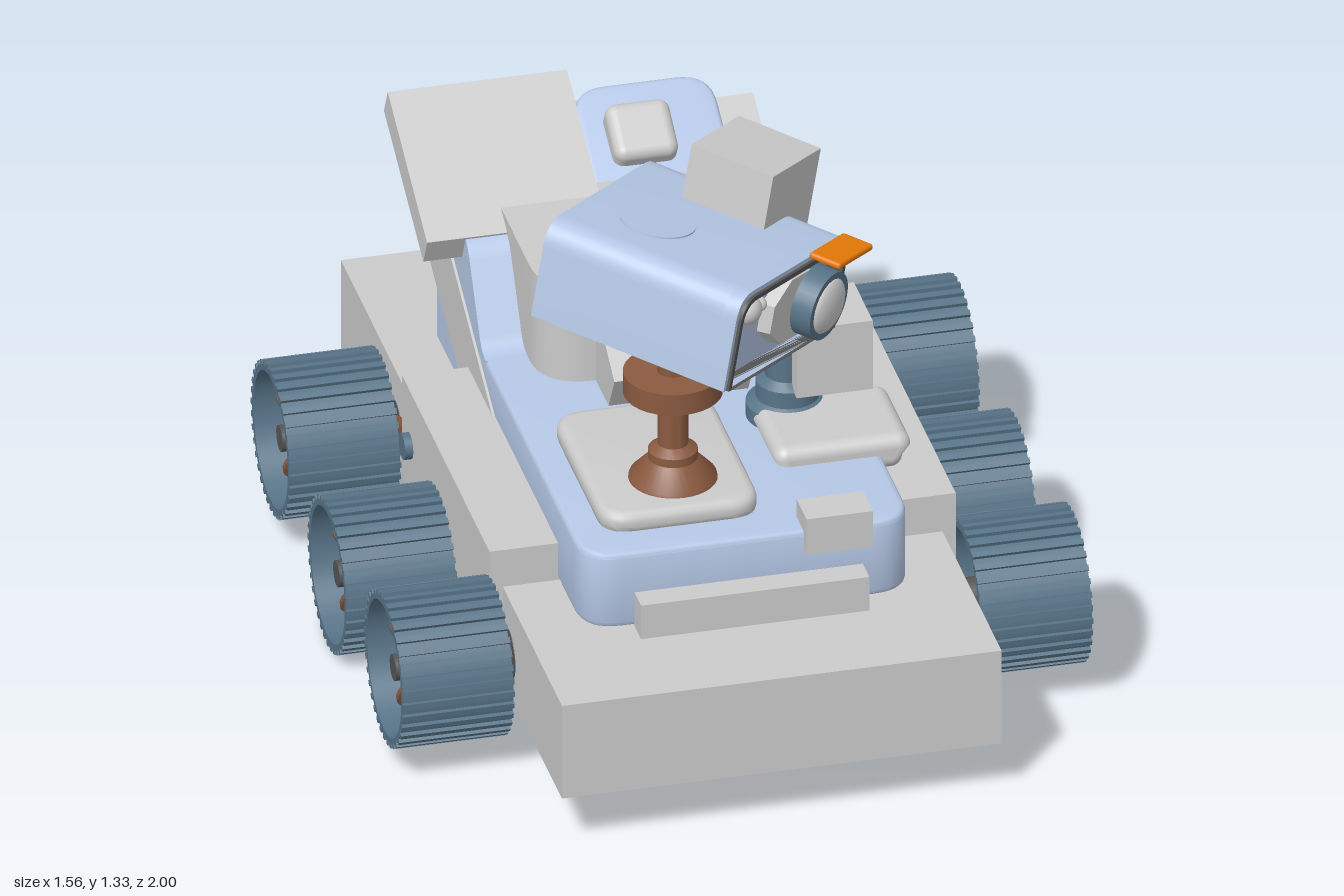
import * as THREE from 'three';
import { toCreasedNormals } from 'three/addons/utils/BufferGeometryUtils.js';
import { RoundedBoxGeometry } from 'three/addons/geometries/RoundedBoxGeometry.js';

const mat = (color) => new THREE.MeshStandardMaterial({ color });
const grey = mat(0xcccccc), blue = mat(0xb5c8e6), steel = mat(0x587488);
const brown = mat(0x8a5a40), dark = mat(0x555555), orange = mat(0xe87a08);

function add(parent, name, geo, material, x = 0, y = 0, z = 0, rx = 0) {
  const m = new THREE.Mesh(geo, material);
  m.name = name;
  m.position.set(x, y, z);
  m.rotation.x = rx;
  parent.add(m);
  return m;
}

// box given by its limits on each axis
function box(parent, name, material, x0, x1, y0, y1, z0, z1) {
  return add(parent, name, new THREE.BoxGeometry(x1 - x0, y1 - y0, z1 - z0), material,
    (x0 + x1) / 2, (y0 + y1) / 2, (z0 + z1) / 2);
}

// cylinder lying along x
const axleGeo = (r, len, seg = 24) => new THREE.CylinderGeometry(r, r, len, seg).rotateZ(Math.PI / 2);
// cylinder facing z
const lensGeo = (r0, r1, len) => new THREE.CylinderGeometry(r1, r0, len, 32).rotateX(Math.PI / 2);

// rectangle with separate radii for its lower and upper corners
function roundRect(x0, x1, y0, y1, rLow, rHigh) {
  const s = new THREE.Shape();
  s.moveTo(x0 + rLow, y0);
  s.lineTo(x1 - rLow, y0);
  if (rLow) s.quadraticCurveTo(x1, y0, x1, y0 + rLow);
  s.lineTo(x1, y1 - rHigh);
  if (rHigh) s.quadraticCurveTo(x1, y1, x1 - rHigh, y1);
  s.lineTo(x0 + rHigh, y1);
  if (rHigh) s.quadraticCurveTo(x0, y1, x0, y1 - rHigh);
  s.lineTo(x0, y0 + rLow);
  if (rLow) s.quadraticCurveTo(x0, y0, x0 + rLow, y0);
  return s;
}

const extrude = (shape, depth, bevel = 0) => toCreasedNormals(new THREE.ExtrudeGeometry(shape, {
  depth, curveSegments: 8, bevelEnabled: bevel > 0, bevelSize: bevel, bevelThickness: bevel, bevelOffset: -bevel, bevelSegments: 3,
}), 0.6);

// plan outline (x, z) raised from y0 to y1; rFront rounds the +z corners
function plan(parent, name, material, x0, x1, z0, z1, y0, y1, rFront, rBack, bevel = 0) {
  const geo = extrude(roundRect(x0, x1, -z1, -z0, rFront, rBack), y1 - y0 - 2 * bevel, bevel);
  return add(parent, name, geo.rotateX(-Math.PI / 2), material, 0, y0 + bevel, 0);
}

// wheel with its outer face towards +x
function makeWheel() {
  const w = new THREE.Group();
  w.name = 'wheel';
  const rim = [[0.155, -0.125], [0.169, -0.125], [0.169, 0.125], [0.155, 0.125], [0.155, -0.125]];
  const rimGeo = new THREE.LatheGeometry(rim.map(([r, h]) => new THREE.Vector2(r, h)), 48);
  add(w, 'rim', toCreasedNormals(rimGeo, 0.5).rotateZ(-Math.PI / 2), steel);
  const cleat = new THREE.BoxGeometry(0.252, 0.012, 0.013);
  for (let i = 0; i < 36; i++) {
    const a = (i / 36) * Math.PI * 2;
    add(w, 'cleat', cleat, steel, 0, Math.cos(a) * 0.172, Math.sin(a) * 0.172, a);
  }
  const curve = new THREE.CatmullRomCurve3([[0.01, 0.04], [0.07, 0.075], [0.08, 0.12], [0.04, 0.16]]
    .map(([x, y]) => new THREE.Vector3(x, y, 0)));
  const spoke = new THREE.TubeGeometry(curve, 10, 0.007, 6);
  for (let i = 0; i < 8; i++) add(w, 'spoke', spoke, brown, 0, 0, 0, (i + 0.5) * Math.PI / 4);
  add(w, 'hub', axleGeo(0.058, 0.14), dark, 0.005);
  add(w, 'hubCap', axleGeo(0.03, 0.04), dark, 0.085);
  add(w, 'axle', axleGeo(0.04, 0.2), dark, -0.15);
  add(w, 'motor', axleGeo(0.06, 0.07), dark, -0.19);
  return w;
}

function makeHead() {
  const h = new THREE.Group();
  h.name = 'cameraHead';
  h.position.set(-0.087, 0.99, 0.46);
  h.rotation.set(0.096, Math.PI / 4, -0.153, 'YXZ');
  add(h, 'headShell', extrude(roundRect(-0.245, 0.245, 0, 0.23, 0, 0.06), 0.46), blue, 0, 0, -0.25);

  // hood around the recessed face, open below
  const arch = (o, t) => {
    const s = roundRect(-o, o, 0, o - 0.015, 0, 0.06);
    s.holes.push(roundRect(-o + t, o - t, 0.001, o - 0.015 - t, 0, 0.05));
    return s;
  };
  add(h, 'hood', extrude(arch(0.245, 0.012), 0.035), blue, 0, 0, 0.21);
  add(h, 'hoodLining', extrude(arch(0.234, 0.012), 0.042), dark, 0, 0, 0.21);

  // instruments on the face
  const plate = add(h, 'lensPlate', lensGeo(0.09, 0.085, 0.03), grey, 0.05, 0.11, 0.225);
  plate.geometry = toCreasedNormals(new THREE.CylinderGeometry(0.085, 0.09, 0.03, 8).rotateY(Math.PI / 8).rotateX(Math.PI / 2), 0.4);
  plate.scale.x = 1.35;
  add(h, 'lensRing', lensGeo(0.083, 0.08, 0.08), steel, 0.108, 0.11, 0.25);
  const dome = new THREE.SphereGeometry(1, 24, 16);
  add(h, 'mainLens', dome, grey, 0.108, 0.11, 0.285).scale.set(0.066, 0.066, 0.025);
  add(h, 'smallLens', dome, grey, -0.155, 0.165, 0.225).scale.set(0.034, 0.034, 0.03);
  add(h, 'tinyLens', dome, grey, -0.09, 0.155, 0.215).scale.set(0.018, 0.018, 0.02);
  add(h, 'visor', new RoundedBoxGeometry(0.15, 0.016, 0.08, 2, 0.007), orange, 0.13, 0.236, 0.285);

  add(h, 'topDisc', new THREE.CylinderGeometry(0.085, 0.085, 0.008, 40), blue, -0.05, 0.23, -0.08);
  add(h, 'sideBox', new THREE.BoxGeometry(0.21, 0.25, 0.21), grey, 0.205, 0.235, 0);
  return h;
}

export function createModel() {
  const g = new THREE.Group();
  g.name = 'rover';

  // chassis
  box(g, 'chassis', grey, -0.497, 0.497, 0.14, 0.375, -1, 1);
  box(g, 'sidePanels', grey, -0.527, 0.527, 0.222, 0.468, -0.326, 0.465);
  box(g, 'frontBar', grey, -0.258, 0.258, 0.375, 0.46, 0.6, 0.76);

  // running gear on both sides
  const wheelSpots = [[0.238, 0.52], [0.186, 0.008], [0.238, -0.507]];
  for (const side of [1, -1]) {
    for (const [y, z] of wheelSpots) {
      const w = makeWheel();
      w.position.set(side * 0.654, y, z);
      if (side < 0) w.rotation.y = Math.PI;
      g.add(w);
    }
    add(g, 'pivot', axleGeo(0.03, 0.06), steel, side * 0.515, 0.33, -0.255);
    add(g, 'rockerArm', new THREE.BoxGeometry(0.035, 0.05, 0.28), brown, side * 0.503, 0.285, -0.38, -0.34);
  }

  // body: flat deck, then raised rear flanks
  plan(g, 'deck', blue, -0.372, 0.372, -0.5, 0.7, 0.375, 0.56, 0.09, 0, 0.012);
  const flank = new THREE.Shape();
  flank.moveTo(0.63, 0.375);
  flank.lineTo(0.63, 0.73);
  flank.quadraticCurveTo(0.625, 0.77, 0.59, 0.77);
  flank.lineTo(0.4, 0.77);
  flank.quadraticCurveTo(0.36, 0.77, 0.335, 0.73);
  flank.lineTo(0.245, 0.59);
  flank.quadraticCurveTo(0.225, 0.56, 0.19, 0.559);
  flank.lineTo(0.19, 0.375);
  add(g, 'rearFlanks', extrude(flank, 0.744).rotateY(Math.PI / 2), blue, -0.372);

  // rear equipment
  plan(g, 'rearHousing', grey, -0.278, 0.272, -0.842, -0.05, 0.375, 0.8, 0.12, 0.06);
  add(g, 'rearSlab', new THREE.BoxGeometry(0.756, 0.188, 0.9), grey, 0, 0.518, -0.414, 0.47);
  add(g, 'frontRamp', new THREE.BoxGeometry(0.316, 0.16, 0.316), grey, 0, 0.661, -0.059, 0.53);
  add(g, 'tiltedPanel', new THREE.BoxGeometry(0.405, 0.075, 0.4), grey, -0.257, 0.827, -0.566, 0.47);
  const cover = extrude(roundRect(-0.16, 0.16, -0.15, 0.15, 0.01, 0.08), 0.09, 0.012).rotateX(-Math.PI / 2);
  add(g, 'rearCover', cover, blue, 0.105, 0.754, -0.62, 0.47);
  add(g, 'rearKnob', new RoundedBoxGeometry(0.145, 0.1, 0.14, 4, 0.025), grey, 0.073, 0.848, -0.576, 0.55);
  box(g, 'flankBox', grey, 0.32, 0.422, 0.46, 0.675, -0.677, -0.573);

  // deck equipment
  plan(g, 'mastPlate', grey, -0.305, 0.055, 0.13, 0.61, 0.55, 0.603, 0.07, 0.07, 0.02);
  const profile = [[0, 0.59], [0.1, 0.595], [0.097, 0.61], [0.055, 0.655], [0.055, 0.675], [0.034, 0.69],
    [0.034, 0.82], [0.11, 0.82], [0.11, 0.872], [0.034, 0.872], [0.034, 0.965], [0.062, 0.97], [0.062, 1.03], [0, 1.03]];
  const mast = new THREE.LatheGeometry(profile.map(([r, y]) => new THREE.Vector2(r, y)), 32);
  add(g, 'mast', toCreasedNormals(mast, 0.6), brown, -0.113, 0, 0.467);
  g.add(makeHead());

  const turret = [[0, 0.55], [0.092, 0.55], [0.092, 0.595], [0.07, 0.61], [0.07, 0.65], [0.05, 0.665],
    [0.05, 0.76], [0.035, 0.775], [0, 0.775]];
  const turretGeo = new THREE.LatheGeometry(turret.map(([r, y]) => new THREE.Vector2(r, y)), 32);
  add(g, 'turret', toCreasedNormals(turretGeo, 0.6), steel, 0.215, 0, 0.19);
  box(g, 'turretBox', grey, 0.213, 0.385, 0.65, 0.823, 0.11, 0.283);

  // side pod narrowing towards its foot
  const pod = new RoundedBoxGeometry(0.31, 0.09, 0.25, 4, 0.03);
  const p = pod.attributes.position;
  for (let i = 0; i < p.count; i++) {
    const k = p.getY(i) < 0 ? 0.9 : 1;
    p.setX(i, p.getX(i) * k);
    p.setZ(i, p.getZ(i) * k);
  }
  add(g, 'sidePod', pod, grey, 0.285, 0.56, 0.302);
  box(g, 'frontSensor', grey, 0.125, 0.275, 0.515, 0.605, 0.635, 0.725);
  return g;
}
